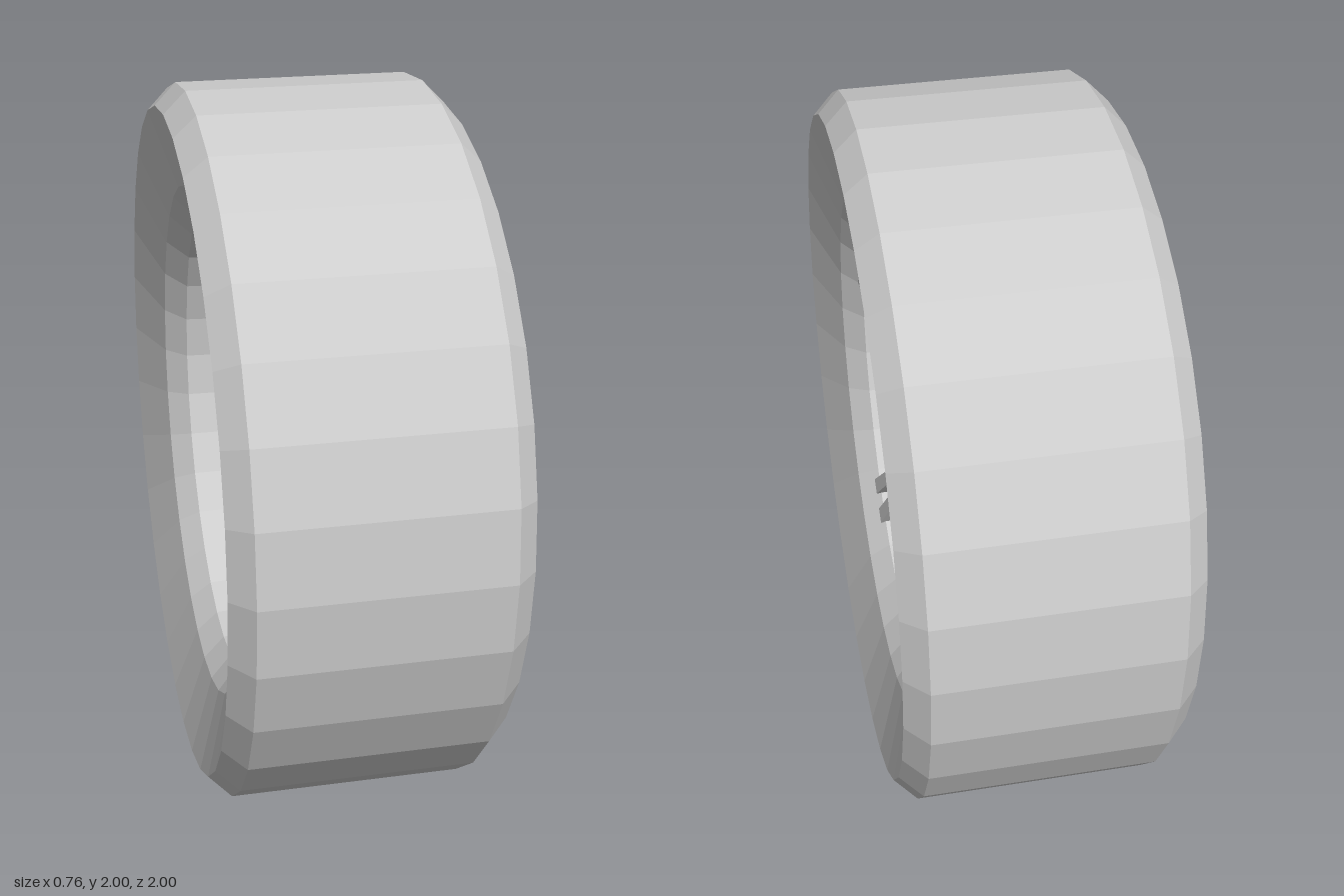
import * as THREE from 'three';

export function createModel() {
  const wheel = new THREE.Group();
  wheel.name = 'wheel';
  const grey = new THREE.MeshStandardMaterial({ color: 0xcccccc, flatShading: true });
  grey.name = 'plain grey';

  // The axle runs along x through the group's origin, one unit above the ground
  const assembly = new THREE.Group();
  assembly.name = 'wheelAssembly';
  assembly.position.y = 1;
  wheel.add(assembly);

  const add = (name, geometry, parent = assembly) => {
    const mesh = new THREE.Mesh(geometry, grey);
    mesh.name = name;
    parent.add(mesh);
    return mesh;
  };

  // Disc along x, from x0 to x1, centred at (y, z)
  const disc = (name, radius, x0, x1, sides, y = 0, z = 0) => {
    const g = new THREE.CylinderGeometry(radius, radius, x1 - x0, sides);
    g.rotateZ(-Math.PI / 2);
    g.translate((x0 + x1) / 2, y, z);
    return add(name, g);
  };

  // Tyre with chamfered shoulders and dished sidewalls: [radius, x]
  const tyreProfile = [
    [0.64, 0], [0.655, -0.25], [0.72, -0.31], [0.94, -0.38], [1, -0.32],
    [1, 0.32], [0.94, 0.38], [0.72, 0.31], [0.655, 0.25], [0.64, 0],
  ].map(([r, x]) => new THREE.Vector2(r, x));
  const tyre = new THREE.LatheGeometry(tyreProfile, 32);
  tyre.rotateZ(-Math.PI / 2);
  add('tyre', tyre);

  // Brake disc, hub and centre cap
  disc('brakeDisc', 0.54, -0.085, 0, 24);
  disc('axle', 0.12, -0.02, 0.1, 24);
  disc('hub', 0.233, 0.09, 0.17, 32);
  disc('centreCap', 0.1, 0.16, 0.22, 24);

  // Brake caliper with two pistons
  const caliper = new THREE.BoxGeometry(0.2, 0.26, 0.47);
  caliper.translate(0, 0.49, 0.235);
  add('brakeCaliper', caliper);
  for (const z of [0.32, 0.145]) disc('caliperPiston', 0.062, 0.09, 0.13, 20, 0.545, z);

  // Spoke blade: splays away from its twin and deepens towards the rim
  const spokeGeometry = (side) => {
    const g = new THREE.BoxGeometry(1, 1, 1);
    const p = g.attributes.position;
    for (let i = 0; i < p.count; i++) {
      const outer = p.getY(i) > 0;
      const front = p.getX(i) > 0;
      const x = front ? (outer ? 0.265 : 0.175) : (outer ? 0.11 : 0.09);
      const centre = outer ? 0.049 : 0.017;
      const halfWidth = outer ? 0.024 : 0.013;
      p.setXYZ(i, x, outer ? 0.658 : 0.22, side * centre + p.getZ(i) * 2 * halfWidth);
    }
    g.computeVertexNormals();
    return g;
  };

  // Five spoke pairs and five bolts
  for (let i = 0; i < 5; i++) {
    const angle = (i * Math.PI * 2) / 5;
    const pair = new THREE.Group();
    pair.name = 'spokePair';
    pair.rotation.x = angle;
    assembly.add(pair);
    for (const side of [-1, 1]) add('spoke', spokeGeometry(side), pair);
    disc('wheelBolt', 0.027, 0.16, 0.21, 12, 0.16 * Math.cos(angle), 0.16 * Math.sin(angle));
  }

  return wheel;
}
